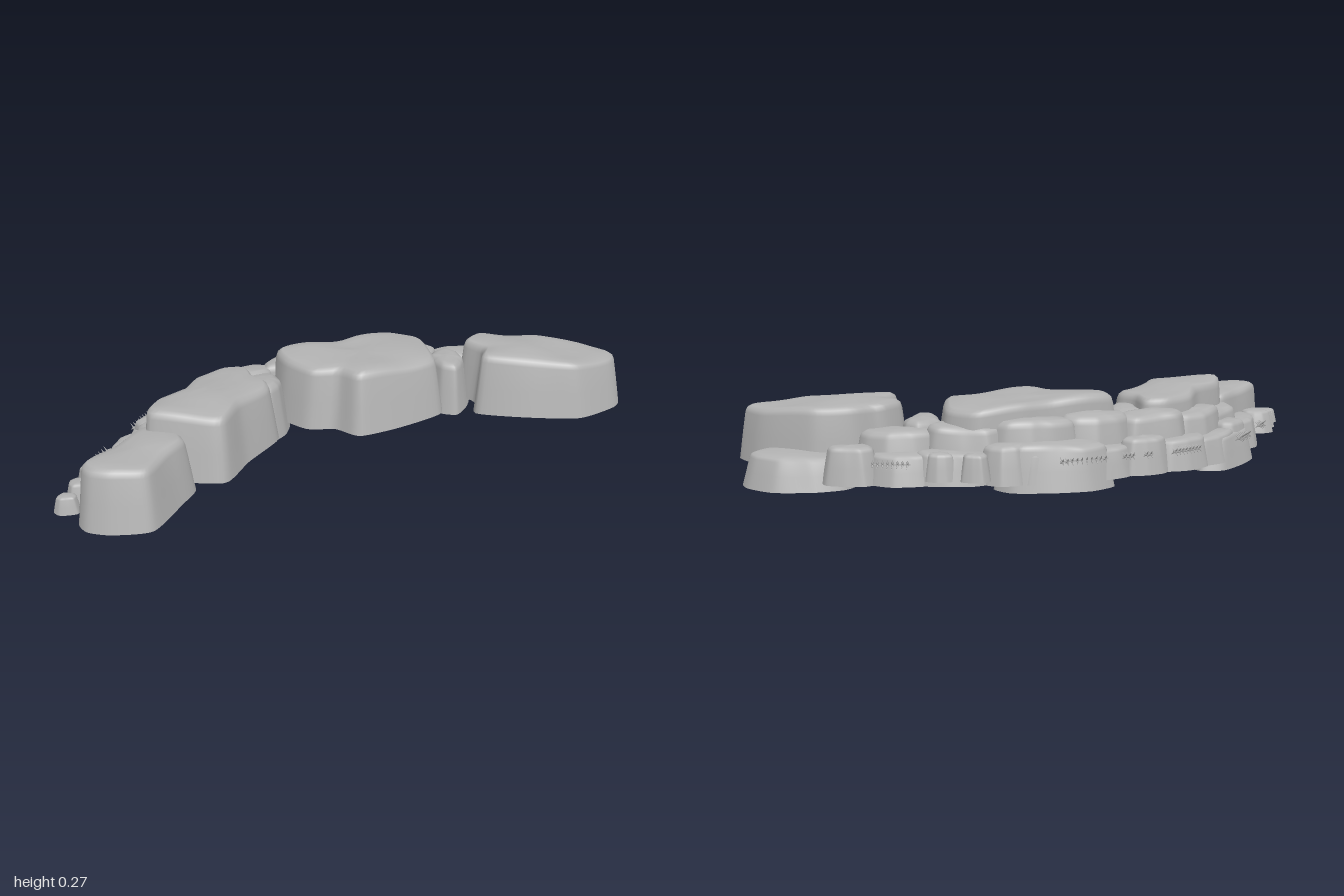
import * as THREE from 'three';

const stone = new THREE.MeshStandardMaterial({ color: 0xb2b2b2, side: THREE.DoubleSide });
stone.name = 'grey stone';

const path = (pts, closed) => new THREE.CatmullRomCurve3(
  pts.map(([x, z]) => new THREE.Vector3(x, 0, z)), closed, 'catmullrom', 0.32);

// Hollow boulder: footprint swept up with a tapering wall, rounded shoulder and uneven cap
function rock(name, pts, base, top, tiltX, tiltZ, taper, lean) {
  const n = 80, loop = path(pts, true).getSpacedPoints(n).slice(0, n);
  const c = loop.reduce((a, p) => a.add(p), new THREE.Vector3()).divideScalar(n);
  const h = top - base;
  // inset, height fraction, share of the tilt
  const rings = [[0, 0, 0], [0.5, 0.45, 0.2], [0.95, 0.85, 0.8], [1.2, 0.93, 0.95], [1.75, 0.975, 1]];
  const rows = rings.length + 3;
  const pos = [], index = [];
  for (let r = 0; r < rows; r++) {
    const cap = Math.max(0, r - rings.length + 1);
    const [inset, f, t] = rings[Math.min(r, rings.length - 1)];
    for (const p of loop) {
      const dx = p.x - c.x, dz = p.z - c.z;
      const k = Math.max(0.4, 1 - inset * taper / Math.hypot(dx, dz)) * (1 - cap * 0.25);
      const x = c.x + dx * k, z = c.z + dz * k - lean * f;
      const bump = 0.03 * h * Math.sin(17 * x + 2 * z) * Math.cos(15 * z - 5 * x);
      pos.push(x, base + h * (f + cap * 0.008) + t * (tiltX * (x - c.x) + tiltZ * (z - c.z) + bump), z);
    }
  }
  pos.push(c.x, top, c.z - lean);
  const tip = rows * n;
  let area = 0;
  loop.forEach((p, i) => { const q = loop[(i + 1) % n]; area += p.z * q.x - p.x * q.z; });
  const tri = (a, b, d) => (area > 0 ? index.push(a, b, d) : index.push(a, d, b));
  for (let i = 0; i < n; i++) {
    const j = (i + 1) % n;
    for (let r = 0; r < rows - 1; r++) {
      const a = r * n + i, b = r * n + j;
      tri(a, b, b + n);
      tri(a, b + n, a + n);
    }
    tri(tip - n + i, tip - n + j, tip);
  }
  const g = new THREE.BufferGeometry();
  g.setAttribute('position', new THREE.Float32BufferAttribute(pos, 3));
  g.setIndex(index);
  g.computeVertexNormals();
  const m = new THREE.Mesh(g, stone);
  m.name = name;
  return m;
}

// Large boulder leaning slightly backwards
const boulder = (name, pts, base, top, tiltX, tiltZ) => rock(name, pts, base, top, tiltX, tiltZ, 0.026, 0.014);

// Lesser stone on a lumpy oval footprint
function ovalRock(name, x, z, rx, rz, angle, base, top) {
  const pts = [], ca = Math.cos(angle), sa = Math.sin(angle);
  for (let i = 0; i < 9; i++) {
    const t = i / 9 * Math.PI * 2, k = 1 + 0.07 * Math.sin(i * 2.4 + x * 20);
    const u = Math.cos(t) * rx * k, v = Math.sin(t) * rz * k;
    pts.push([x + u * ca - v * sa, z + u * sa + v * ca]);
  }
  return rock(name, pts, base, top, 0, 0.06, Math.min(0.028, rz * 0.3), 0);
}

// Small frond: thin stem with pairs of pointed leaflets
function frond(x, y, z, angle, length) {
  const g = new THREE.Group();
  g.name = 'frond';
  const stem = new THREE.Mesh(new THREE.BoxGeometry(length, 0.004, 0.004), stone);
  stem.name = 'stem';
  g.add(stem);
  const leafGeo = new THREE.ConeGeometry(0.004, 0.02, 4);
  leafGeo.translate(0, 0.01, 0);
  const pairs = Math.round(length / 0.016);
  for (let i = 0; i < pairs; i++) {
    for (const roll of [0.9, 2.2, -0.9, -2.2]) {
      const leaf = new THREE.Mesh(leafGeo, stone);
      leaf.name = 'leaflet';
      leaf.position.x = ((i + 0.5) / pairs - 0.5) * length;
      leaf.rotation.set(roll, 0, -0.2);
      g.add(leaf);
    }
  }
  g.position.set(x, y, z);
  g.rotation.y = angle;
  return g;
}

export function createModel() {
  const model = new THREE.Group();
  model.name = 'rockRidge';

  // Large front boulders
  model.add(
    boulder('leftEndBoulder', [[-0.94, 0.33], [-0.925, 0.39], [-0.86, 0.43], [-0.74, 0.447], [-0.63, 0.32],
      [-0.57, 0.24], [-0.59, 0.14], [-0.68, 0.08], [-0.8, 0.17], [-0.88, 0.25]], 0.03, 0.214, -0.01, 0.03),
    boulder('leftBoulder', [[-0.7, 0.11], [-0.71, 0.17], [-0.6, 0.23], [-0.48, 0.272], [-0.38, 0.16], [-0.25, 0.04],
      [-0.235, -0.03], [-0.27, -0.1], [-0.28, -0.19], [-0.36, -0.21], [-0.48, -0.15], [-0.57, -0.03], [-0.67, 0.05]],
    0.055, 0.262, -0.06, 0.02),
    boulder('middleBoulder', [[-0.195, -0.23], [-0.195, -0.12], [-0.13, -0.01], [-0.04, 0.02], [0.02, 0.098], [0.17, 0.08],
      [0.35, 0.02], [0.385, -0.1], [0.395, -0.24], [0.31, -0.325], [0.15, -0.315], [0.02, -0.275], [-0.1, -0.26]],
    0.055, 0.266, -0.045, 0),
    boulder('rightBoulder', [[0.465, 0.06], [0.5, -0.03], [0.47, -0.12], [0.55, -0.19], [0.64, -0.17], [0.78, -0.15],
      [0.9, -0.06], [0.955, 0], [1, 0.11], [0.95, 0.17], [0.79, 0.213], [0.62, 0.15]], 0.055, 0.254, -0.08, 0));

  // Stones filling the gaps between the boulders
  for (const [x, z, turn] of [[-0.25, -0.13, 0.1], [0.43, -0.13, 0.2]])
    model.add(ovalRock('gapStone', x, z, 0.085, 0.125, turn, 0.03, 0.21));

  // Low, wide stones reaching the ground
  for (const [x, z, turn, top] of [[-0.6, -0.1, -0.85, 0.12], [0.05, -0.35, 0.05, 0.15], [0.83, -0.14, 0.4, 0.112]])
    model.add(ovalRock('baseStone', x, z, 0.185, 0.1, turn, 0.005, top));

  // Two stepped rows following the back of the arc
  const arc = path([[-0.78, 0.1], [-0.57, -0.16], [-0.33, -0.295], [0.1, -0.37], [0.41, -0.32], [0.74, -0.23]], false);
  const along = (t, out) => {
    const p = arc.getPointAt(t), d = arc.getTangentAt(t);
    return [p.x + d.z * out, p.z - d.x * out, Math.atan2(d.z, d.x)];
  };
  for (let i = 0; i < 11; i++) {
    const [x, z, turn] = along((i + 0.5) / 11, 0);
    model.add(ovalRock('backStone', x, z, i % 3 === 1 ? 0.09 : 0.125, 0.066, turn, 0.03, 0.135 + 0.015 * Math.sin(i * 2)));
  }
  for (let i = 0; i < 7; i++) {
    const t = 0.1 + i * 0.13, [x, z, turn] = along(t, -0.075);
    model.add(ovalRock('shoulderStone', x, z, 0.15, 0.09, turn, 0.03, 0.165 + 0.055 * Math.sin(t * Math.PI)));
  }

  // Pebbles dwindling at the left end and perched at the back
  for (let i = 0; i < 3; i++)
    model.add(ovalRock('pebble', -0.865 - i * 0.05, 0.185 + i * 0.058, 0.065 - i * 0.012, 0.06 - i * 0.012, 0.3,
      0.05 + i * 0.007, 0.135 - i * 0.01));
  for (const [x, z] of [[0.41, -0.35], [0.31, -0.385]])
    model.add(ovalRock('pebble', x, z, 0.05, 0.042, 0.3, 0.045, 0.13));

  // Fronds along the back foot of the ridge
  for (const [t, length] of [[0.01, 0.07], [0.16, 0.12], [0.34, 0.12], [0.42, 0.03], [0.46, 0.04], [0.55, 0.16], [0.88, 0.12]]) {
    const [x, z, turn] = along(t, 0.068);
    model.add(frond(x, 0.1, z, -turn, length));
  }
  return model;
}
